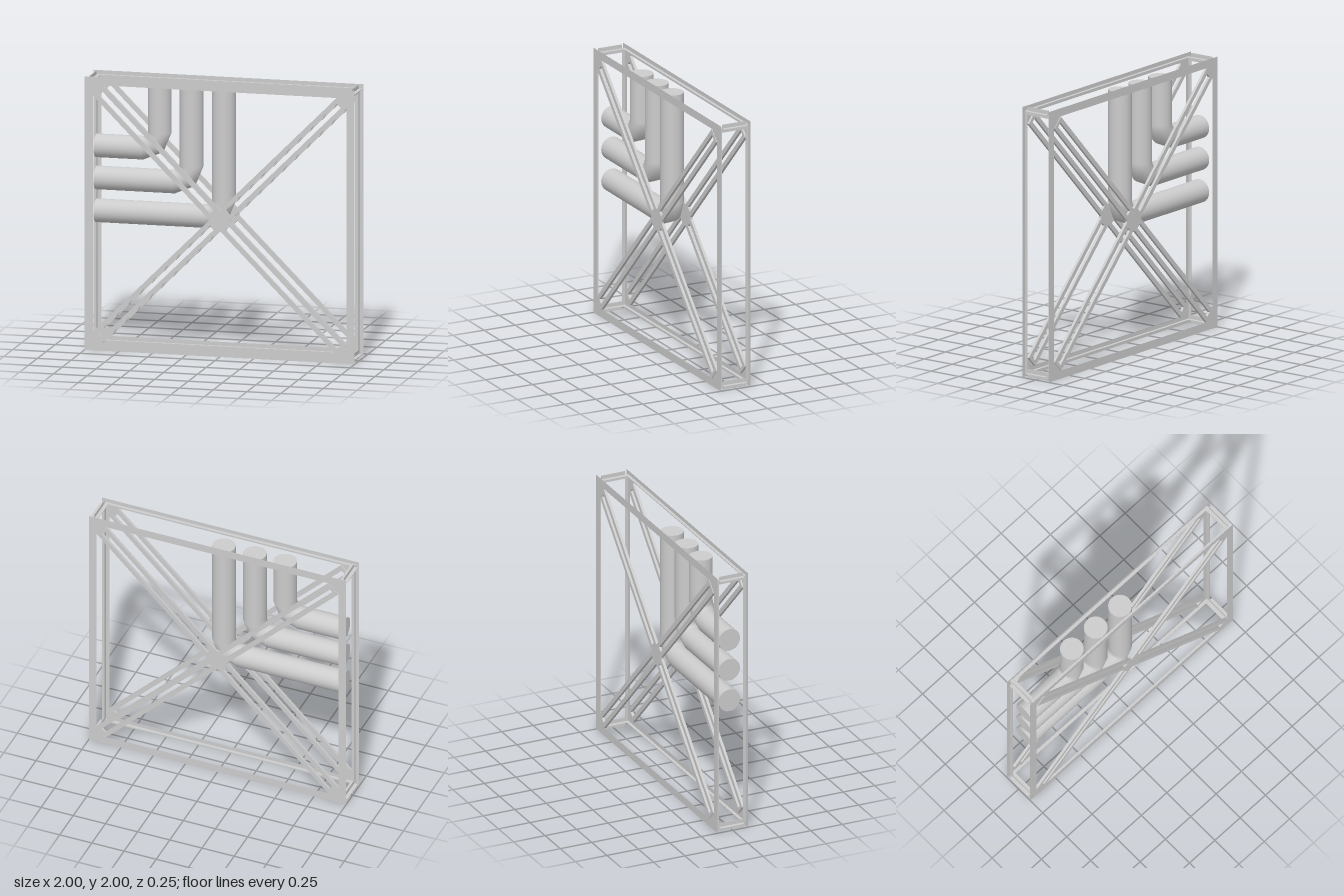
import * as THREE from 'three';

const mat = new THREE.MeshStandardMaterial({ color: 0xcccccc, side: THREE.DoubleSide });
const MID = 0.97, INNER = 0.94, SHEET_Z = 0.12;

function mesh(name, geo, x = 0, y = 0, z = 0) {
  const m = new THREE.Mesh(geo, mat);
  m.name = name;
  m.position.set(x, y, z);
  return m;
}

const box = (name, w, h, d, x, y, z) => mesh(name, new THREE.BoxGeometry(w, h, d), x, y, z);

function polygon(points) {
  return new THREE.Shape(points.map(([x, y]) => new THREE.Vector2(x, y)));
}

const square = (s) => polygon([[-s, -s], [s, -s], [s, s], [-s, s]]);

// One face of the frame: thin square ring, stiffening webs and slotted cross braces
function framePanel(name) {
  const panel = new THREE.Group();
  panel.name = name;

  const ring = square(1);
  ring.holes.push(square(INNER));
  panel.add(mesh('frameRing', new THREE.ShapeGeometry(ring), 0, 0, SHEET_Z));

  // Webs behind the middle of each ring bar
  for (const s of [-1, 1]) {
    panel.add(box('horizontalWeb', 2 * MID, 0.004, 0.023, 0, s * MID, 0.107));
    panel.add(box('verticalWeb', 0.004, 2 * MID, 0.023, s * MID, 0, 0.107));
  }

  // Four brace arms, each a pair of strips ending in a corner gusset
  const corner = INNER * Math.SQRT2, slotEnd = 1.25, half = 0.053;
  const armEnd = corner - half;
  for (let i = 0; i < 4; i++) {
    const arm = new THREE.Group();
    arm.name = 'braceArm';
    arm.rotation.z = Math.PI / 4 + i * Math.PI / 2;
    for (const s of [-1, 1]) {
      arm.add(box('braceStrip', armEnd - 0.04, 0.033, 0.02, (armEnd + 0.04) / 2, s * 0.0365, 0.115));
    }
    arm.add(box('slotEnd', armEnd - slotEnd, 0.042, 0.02, (armEnd + slotEnd) / 2, 0, 0.115));
    const gusset = polygon([[armEnd, -half], [corner, 0], [armEnd, half]]);
    arm.add(mesh('cornerGusset', new THREE.ShapeGeometry(gusset), 0, 0, SHEET_Z));
    panel.add(arm);
  }
  const hub = new THREE.CylinderGeometry(0.088, 0.088, 0.02, 8);
  hub.rotateX(Math.PI / 2);
  hub.rotateZ(Math.PI / 8);
  panel.add(mesh('braceHub', hub, 0, 0, 0.115));
  return panel;
}

// Elbow pipe: a cylinder whose rings are moved along an L-shaped path
function elbowPipe(offset) {
  const R = 0.085, bend = 0.12, end = 0.945;
  const cx = -offset - bend, cy = offset + bend, d = Math.SQRT1_2;
  // Each station: ring centre x, y and its outward direction
  const stations = [
    [-end, offset, 0, -1],
    [cx, offset, 0, -1],
    [cx + bend * d, cy - bend * d, d, -d],
    [-offset, cy, 1, 0],
    [-offset, end, 1, 0],
  ];
  const geo = new THREE.CylinderGeometry(R, R, 1, 32, 4);
  const p = geo.attributes.position, n = geo.attributes.normal;
  for (let i = 0; i < p.count; i++) {
    const [x, y, ux, uy] = stations[Math.round((p.getY(i) + 0.5) * 4)];
    const r = p.getX(i), nr = n.getX(i), nt = n.getY(i);
    p.setXYZ(i, x + r * ux, y + r * uy, p.getZ(i));
    n.setXYZ(i, nr * ux - nt * uy, nr * uy + nt * ux, n.getZ(i));
  }
  return mesh('elbowPipe', geo);
}

export function createModel() {
  const model = new THREE.Group();
  model.name = 'pipeFrame';
  const body = new THREE.Group();
  body.name = 'frameAndPipes';
  body.position.y = 1;
  model.add(body);

  const back = framePanel('backPanel');
  back.rotation.y = Math.PI;
  body.add(framePanel('frontPanel'), back);

  // Cross-section spacers joining the two panels at the corners
  for (const sx of [-1, 1]) {
    for (const sy of [-1, 1]) {
      const spacer = new THREE.Group();
      spacer.name = 'cornerSpacer';
      spacer.position.set(sx * MID, sy * MID, 0);
      spacer.add(box('spacerUpright', 0.004, 0.06, 0.19, 0, 0, 0));
      spacer.add(box('spacerFlat', 0.06, 0.004, 0.19, 0, 0, 0));
      body.add(spacer);
    }
  }

  for (const offset of [0, 0.24, 0.475]) body.add(elbowPipe(offset));
  return model;
}
